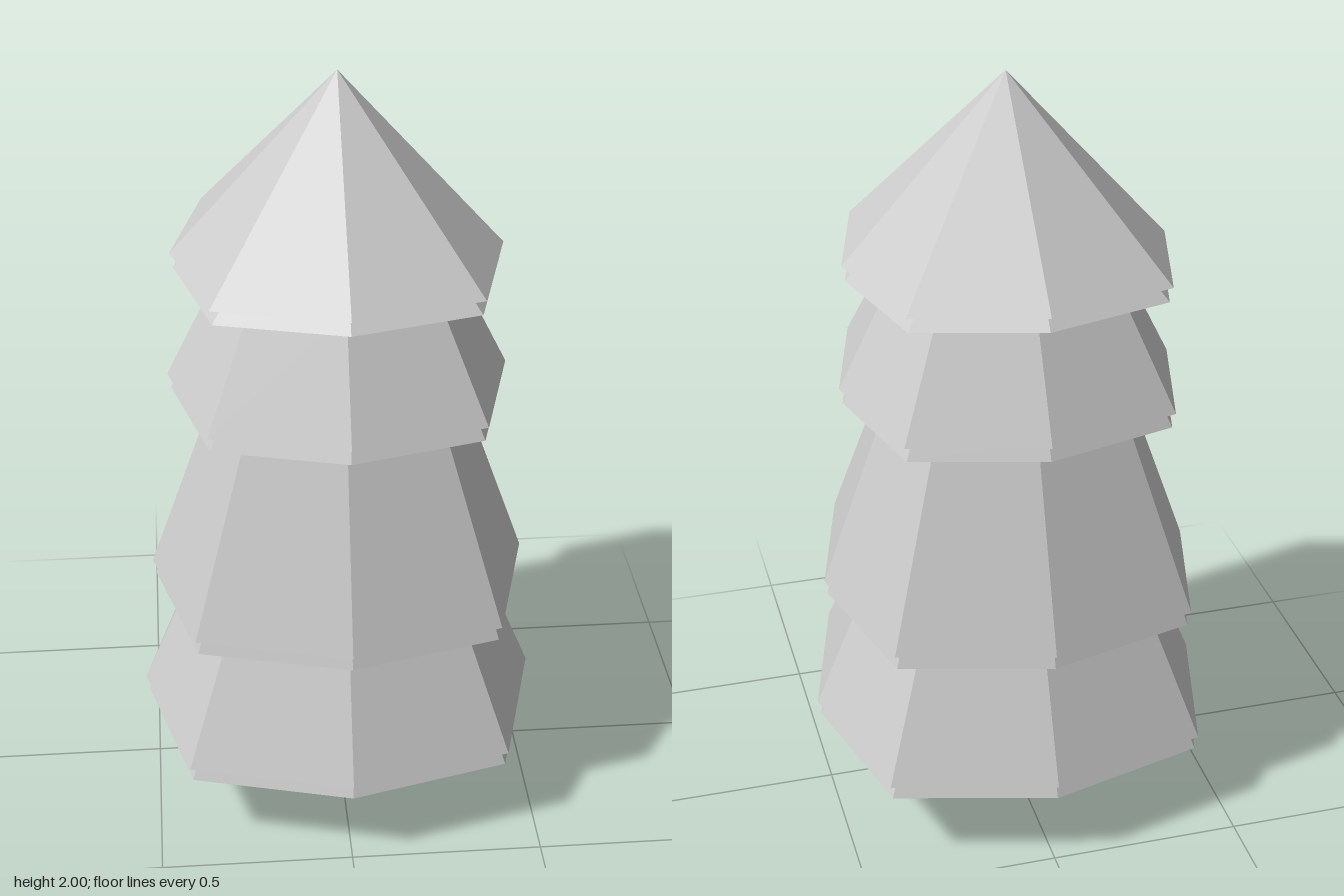
import * as THREE from 'three';

const material = new THREE.MeshStandardMaterial({ color: 0xcccccc, flatShading: true });
const openMaterial = new THREE.MeshStandardMaterial({ color: 0xcccccc, flatShading: true, side: THREE.DoubleSide });

// Eight-sided frustum whose diagonal corners are pushed out, giving a squarish plan
function frustum(name, bottom, top, rBottom, rTop) {
  const geo = new THREE.CylinderGeometry(rTop, rBottom, top - bottom, 8, 1);
  geo.translate(0, (top + bottom) / 2, 0);
  const pos = geo.attributes.position;
  for (let i = 0; i < pos.count; i++) {
    const x = pos.getX(i), z = pos.getZ(i);
    if (Math.abs(x) > 1e-4 && Math.abs(z) > 1e-4) {
      pos.setX(i, x * 1.117);
      pos.setZ(i, z * 1.117);
    }
  }
  geo.computeVertexNormals();
  const mesh = new THREE.Mesh(geo, material);
  mesh.name = name;
  return mesh;
}

export function createModel() {
  const tree = new THREE.Group();
  tree.name = 'tree';

  // Trunk: open twelve-sided tube
  const trunk = new THREE.Mesh(new THREE.CylinderGeometry(0.1, 0.1, 0.22, 12, 1, true), openMaterial);
  trunk.name = 'trunk';
  trunk.position.y = 0.11;
  tree.add(trunk);

  // Foliage tiers, bottom to top: each is a skirt with a smaller lip showing below it
  const tiers = [
    { y: 0.254, top: 0.61, r: 0.528, rTop: 0.38 },
    { y: 0.636, top: 1.17, r: 0.494, rTop: 0.305 },
    { y: 1.199, top: 1.5, r: 0.434, rTop: 0.285 },
    { y: 1.536, top: 2, r: 0.416, rTop: 0 },
  ];
  tiers.forEach(({ y, top, r, rTop }, i) => {
    const tier = new THREE.Group();
    tier.name = `foliageTier${i + 1}`;
    const slope = (r - rTop) / (top - y);
    const lipRadius = r - 0.008, lipBottom = y - 0.04, lipTop = y + 0.01;
    tier.add(
      frustum('skirt', y, top, r, rTop),
      frustum('lip', lipBottom, lipTop, lipRadius, lipRadius - slope * (lipTop - lipBottom)),
    );
    tree.add(tier);
  });

  return tree;
}
